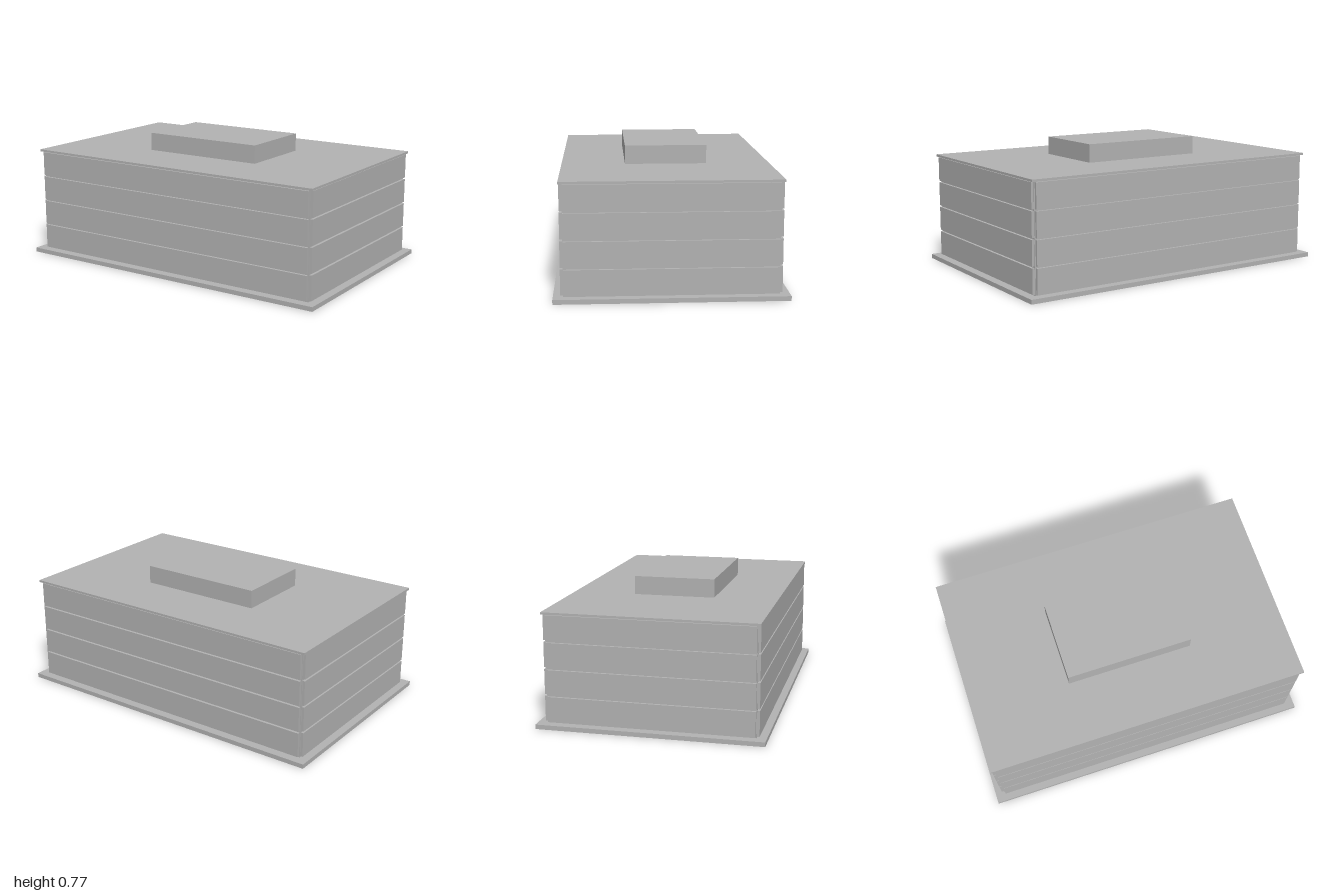
import * as THREE from 'three';

export function createModel() {
  const model = new THREE.Group();
  const grey = new THREE.MeshStandardMaterial({ color: 0xb2b2b2 });
  grey.name = 'concreteGrey';

  // Box given by full width, depth, bottom and top heights, and centre
  function block(name, width, depth, bottom, top, x = 0, z = 0) {
    const mesh = new THREE.Mesh(new THREE.BoxGeometry(width, top - bottom, depth), grey);
    mesh.position.set(x, (bottom + top) / 2, z);
    mesh.name = name;
    model.add(mesh);
  }

  // Ground slab, recessed core, roof slab and rooftop plant room
  block('baseSlab', 2, 1.29, 0, 0.026);
  block('core', 1.89, 1.18, 0.026, 0.647);
  block('roofSlab', 1.93, 1.216, 0.647, 0.66);
  block('plantRoom', 0.756, 0.476, 0.66, 0.768);

  // Four storeys of facade panels, with shadow gaps between and open corners
  const thickness = 0.015;
  for (let floor = 0; floor < 4; floor++) {
    const bottom = 0.033 + floor * 0.155;
    const top = bottom + 0.145;
    for (const side of [-1, 1]) {
      block(side > 0 ? 'frontPanel' : 'backPanel', 1.88, thickness, bottom, top, 0, side * 0.5975);
      block(side > 0 ? 'leftPanel' : 'rightPanel', thickness, 1.172, bottom, top, side * 0.9525, 0);
    }
  }
  return model;
}
